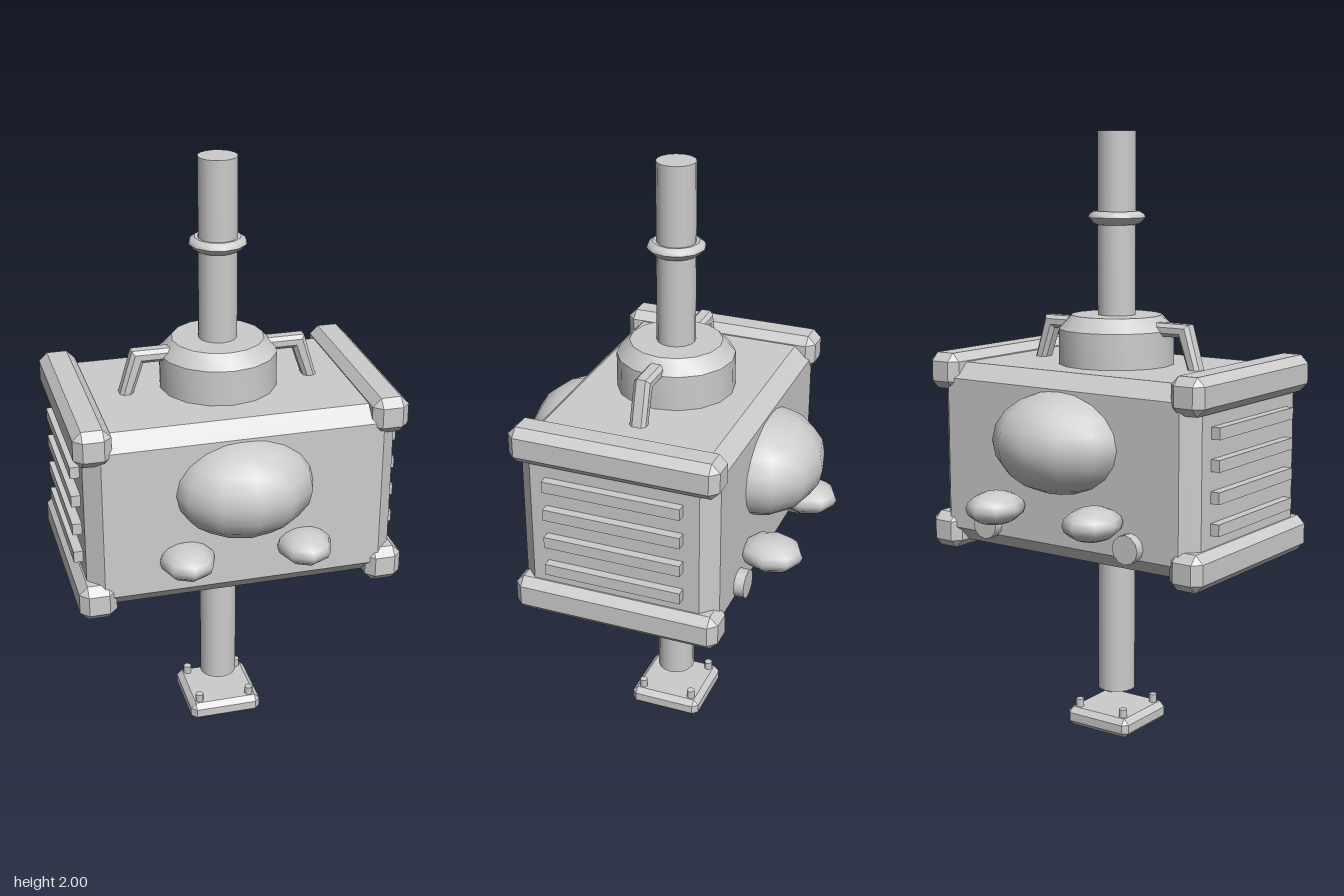
import * as THREE from 'three';
import { toCreasedNormals } from 'three/addons/utils/BufferGeometryUtils.js';
import { ConvexGeometry } from 'three/addons/geometries/ConvexGeometry.js';

export function createModel() {
  const model = new THREE.Group();
  model.name = 'poleMountedBox';
  const grey = new THREE.MeshStandardMaterial({ color: 0xcccccc });
  grey.name = 'lightGrey';

  function add(name, geometry, x = 0, y = 0, z = 0) {
    const mesh = new THREE.Mesh(geometry, grey);
    mesh.name = name;
    mesh.position.set(x, y, z);
    model.add(mesh);
    return mesh;
  }

  // Box with every edge cut by a flat chamfer b
  function chamferBox(w, h, d, b) {
    const X = w / 2, Y = h / 2, Z = d / 2, points = [];
    for (const i of [-1, 1]) for (const j of [-1, 1]) for (const k of [-1, 1]) {
      points.push(
        new THREE.Vector3(i * X, j * (Y - b), k * (Z - b)),
        new THREE.Vector3(i * (X - b), j * Y, k * (Z - b)),
        new THREE.Vector3(i * (X - b), j * (Y - b), k * Z));
    }
    return new ConvexGeometry(points);
  }

  // Turned part from [radius, height] pairs, bottom to top
  function turned(profile, sides) {
    const points = profile.map(([r, y]) => new THREE.Vector2(r, y));
    return toCreasedNormals(new THREE.LatheGeometry(points, sides), 0.6);
  }

  function ellipsoid(rx, ry, rz, around, rows) {
    return new THREE.SphereGeometry(1, around, rows).scale(rx, ry, rz);
  }

  // Main case and the four corner rails
  const caseZ = 0.008;
  add('case', chamferBox(1.01, 0.605, 0.66, 0.05), 0, 0.947, caseZ);
  for (const x of [-0.477, 0.477]) {
    for (const y of [0.68, 1.22]) {
      add('cornerRail', chamferBox(0.12, 0.12, 0.69, 0.027), x, y, caseZ);
    }
  }

  // Slats on both ends
  for (const side of [-1, 1]) {
    for (const y of [0.8, 0.9, 1.0, 1.1]) {
      add('sideSlat', new THREE.BoxGeometry(0.06, 0.038, 0.455), side * 0.505, y, caseZ);
    }
  }

  // Pole with its collars and hub
  add('pole', new THREE.CylinderGeometry(0.063, 0.063, 1.87, 16), 0, 1.065, 0);
  add('poleRing', turned([[0.06, 1.7], [0.075, 1.705], [0.094, 1.725], [0.09, 1.735],
    [0.075, 1.745], [0.06, 1.742]], 12));
  add('hub', turned([[0, 1.2], [0.192, 1.2], [0.192, 1.365], [0.15, 1.41], [0, 1.41]], 16));
  add('bottomFlange', turned([[0, 0.62], [0.065, 0.62], [0.08, 0.65], [0, 0.65]], 16));

  // Bulges on front and back
  for (const side of [-1, 1]) {
    add('largeBulge', ellipsoid(0.233, 0.165, 0.203, 12, 10), 0, 1.03, side * 0.302);
  }
  for (const x of [-0.193, 0.193]) {
    add('smallFrontBulge', ellipsoid(0.09, 0.054, 0.105, 8, 8), x, 0.81, 0.357);
    add('smallBackBulge', ellipsoid(0.09, 0.054, 0.105, 8, 8), x, 0.81, -0.402);
    // Round feet low on the back
    add('backKnob', new THREE.CylinderGeometry(0.047, 0.047, 0.06, 12).rotateX(Math.PI / 2),
      x < 0 ? -0.28 : 0.28, 0.73, -0.325);
  }

  // Bent braces from the hub down to the case
  const bevel = 0.012;
  const brace = new THREE.Shape([
    [0.15, 1.362], [0.258, 1.362], [0.302, 1.235], [0.322, 1.235], [0.277, 1.381], [0.15, 1.381],
  ].map(([x, y]) => new THREE.Vector2(x, y)));
  const braceGeometry = new THREE.ExtrudeGeometry(brace, {
    depth: 0.03, bevelEnabled: true, bevelSize: bevel, bevelThickness: bevel, bevelSegments: 1,
  }).translate(0, 0, -0.015);
  add('leftBrace', braceGeometry, 0, 0, 0.004);
  add('rightBrace', braceGeometry, 0, 0, 0.004).rotation.y = Math.PI;

  // Foot plate with four bolts
  add('footPlate', chamferBox(0.25, 0.065, 0.25, 0.018), 0, 0.0325, 0);
  for (const x of [-0.09, 0.09]) {
    for (const z of [-0.09, 0.09]) {
      add('footBolt', new THREE.CylinderGeometry(0.014, 0.014, 0.045, 8), x, 0.07, z);
    }
  }
  return model;
}
